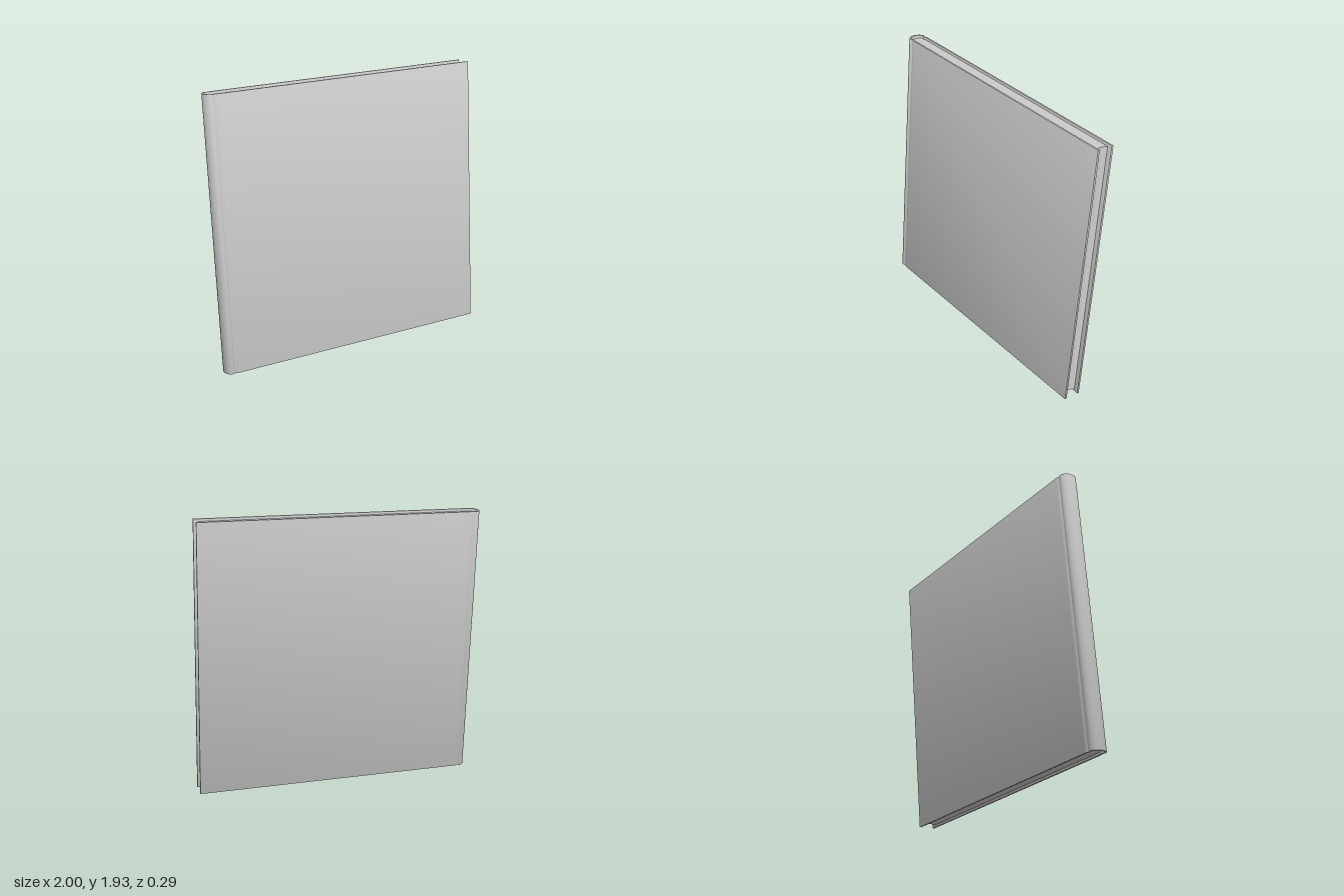
import * as THREE from 'three';
import { toCreasedNormals } from 'three/addons/utils/BufferGeometryUtils.js';

const HEIGHT = 1.922, HALF = 0.063, BOARD = 0.014, TILT = 0.086;
const material = new THREE.MeshStandardMaterial({ color: 0xcccccc });

// Extrudes a plan outline (x, z) upwards, centred on y = 0
function upright(name, shape, height, bevel) {
  const geo = new THREE.ExtrudeGeometry(shape, {
    depth: height - 2 * bevel, curveSegments: 16, bevelEnabled: bevel > 0,
    bevelThickness: bevel, bevelSize: bevel, bevelOffset: -bevel, bevelSegments: 2,
  });
  geo.rotateX(-Math.PI / 2).translate(0, bevel - height / 2, 0);
  const mesh = new THREE.Mesh(toCreasedNormals(geo, 0.7), material);
  mesh.name = name;
  return mesh;
}

// Half of the cover section: board, hinge groove, then rounded spine
function halfSection(inset) {
  const h = HALF - inset;
  const pts = [[1, h], [-0.912, h], [-0.925, h - 0.002], [-0.934, h - 0.007],
    [-0.943, h - 0.006], [-0.95, h - 0.001]].map(([x, z]) => new THREE.Vector2(x, z));
  const rx = 0.045 - inset;
  for (let i = 0; i <= 12; i++) {
    const a = (i / 12) * Math.PI / 2;
    pts.push(new THREE.Vector2(-0.955 - rx * Math.sin(a), h * Math.cos(a)));
  }
  return pts;
}

// Both halves joined by mirroring, running round the spine
function fullSection(inset) {
  const half = halfSection(inset);
  const mirrored = half.slice(0, -1).reverse().map((p) => new THREE.Vector2(p.x, -p.y));
  return [...half, ...mirrored];
}

export function createModel() {
  const group = new THREE.Group();
  group.name = 'book';

  // Hard cover: two boards and the spine in one piece
  const cover = new THREE.Shape([...fullSection(0), ...fullSection(BOARD).reverse()]);
  group.add(upright('cover', cover, HEIGHT, 0.003));

  // Page block: rounded back, hollow fore edge
  const p = HALF - BOARD - 0.0005;
  const pages = new THREE.Shape();
  pages.moveTo(-0.955, -p);
  pages.lineTo(0.967, -p);
  pages.quadraticCurveTo(0.941, 0, 0.967, p);
  pages.lineTo(-0.955, p);
  pages.absellipse(-0.955, 0, 0.023, p, Math.PI / 2, Math.PI * 1.5, false);
  group.add(upright('pages', pages, HEIGHT - 0.036, 0));

  // Leaning backwards
  group.rotation.x = -TILT;
  group.position.y = (HEIGHT / 2) * Math.cos(TILT) + HALF * Math.sin(TILT);
  const model = new THREE.Group();
  model.add(group);
  return model;
}
